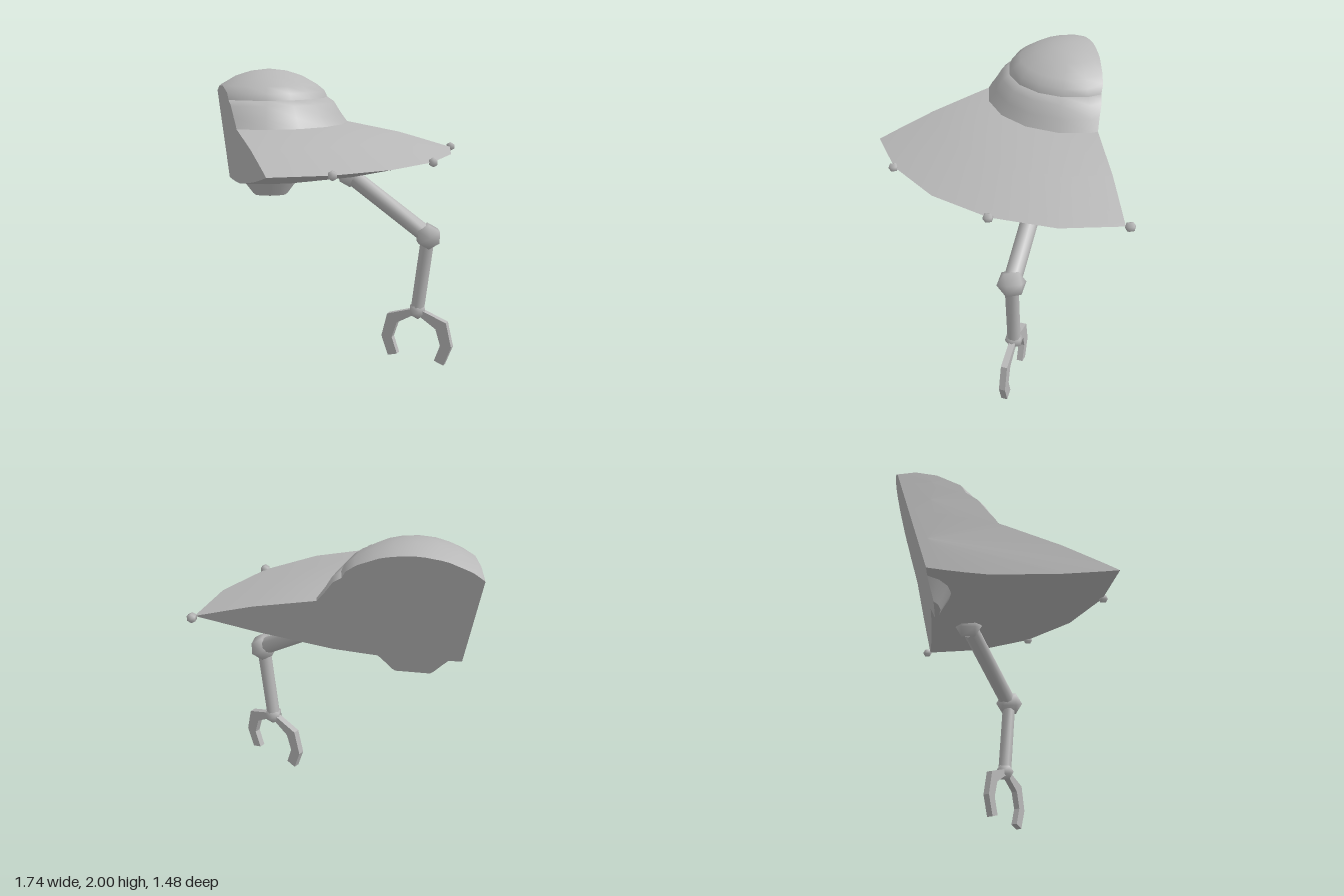
import * as THREE from 'three';
import { toCreasedNormals } from 'three/addons/utils/BufferGeometryUtils.js';

const AXIS = new THREE.Vector3(-0.485, 0, -0.59); // vertical axis of the saucer
const V = (x, y, z) => new THREE.Vector3(x, y, z);

// Planes that slice the saucer; the normal points to the kept side
const sidePlane = new THREE.Plane().setFromNormalAndCoplanarPoint(V(0.804, 0.046, -0.219).normalize(), V(-0.87, 1.85, -0.7));
const backPlane = new THREE.Plane().setFromNormalAndCoplanarPoint(V(0, 0.32, 1).normalize(), V(-0.87, 1.85, -0.7));

// Clips a convex solid by a plane and closes the cut with a flat cap
function slice(geometry, plane) {
  const p = geometry.attributes.position, n = geometry.attributes.normal;
  const pos = [], nor = [], cuts = [];
  const push = (...corners) => corners.forEach(c => {
    pos.push(c.p.x, c.p.y, c.p.z);
    nor.push(c.n.x, c.n.y, c.n.z);
  });
  for (let i = 0; i < p.count; i += 3) {
    const tri = [0, 1, 2].map(k => {
      const q = V().fromBufferAttribute(p, i + k);
      return { p: q, n: V().fromBufferAttribute(n, i + k), d: plane.distanceToPoint(q) };
    });
    const poly = [];
    let exit, entry;
    tri.forEach((a, k) => {
      const b = tri[(k + 1) % 3];
      if (a.d >= 0) poly.push(a);
      if ((a.d >= 0) !== (b.d >= 0)) {
        const t = a.d / (a.d - b.d);
        const c = { p: a.p.clone().lerp(b.p, t), n: a.n.clone().lerp(b.n, t).normalize() };
        poly.push(c);
        if (a.d >= 0) exit = c.p; else entry = c.p;
      }
    });
    for (let k = 2; k < poly.length; k++) push(poly[0], poly[k - 1], poly[k]);
    if (exit) cuts.push([entry, exit]);
  }
  // Cap as a fan around the middle of the cut
  const mid = V();
  cuts.forEach(([a, b]) => mid.add(a).add(b));
  mid.divideScalar(Math.max(1, cuts.length * 2));
  const out = plane.normal.clone().negate();
  cuts.forEach(([a, b]) => push({ p: a, n: out }, { p: b, n: out }, { p: mid, n: out }));
  const g = new THREE.BufferGeometry();
  g.setAttribute('position', new THREE.Float32BufferAttribute(pos, 3));
  g.setAttribute('normal', new THREE.Float32BufferAttribute(nor, 3));
  return g;
}

// Turned solid on the saucer axis, sliced by both planes
function slicedLathe(profile, segments) {
  const lathe = new THREE.LatheGeometry(profile.map(([r, y]) => new THREE.Vector2(r, y)), segments);
  lathe.translate(AXIS.x, 0, AXIS.z);
  return slice(slice(toCreasedNormals(lathe, 0.7), sidePlane), backPlane);
}

export function createModel() {
  const model = new THREE.Group();
  model.name = 'saucerWithArm';
  const metal = new THREE.MeshStandardMaterial({ color: 0xb8b8b8 });
  metal.name = 'grey metal';

  const add = (name, geometry, parent = model) => {
    const mesh = new THREE.Mesh(geometry, metal);
    mesh.name = name;
    parent.add(mesh);
    return mesh;
  };

  // Saucer body
  add('hull', slicedLathe([[0, 1.22], [0.24, 1.22], [0.5, 1.245], [0.95, 1.335], [1.33, 1.43],
    [0.95, 1.54], [0.56, 1.62], [0, 1.62]], 20));
  add('collar', slicedLathe([[0, 1.6], [0.565, 1.62], [0.515, 1.69], [0.47, 1.765], [0.42, 1.8], [0, 1.8]], 16));
  add('dome', slicedLathe([[0, 1.78], [0.42, 1.8], [0.4, 1.845], [0.345, 1.89], [0.24, 1.95],
    [0.13, 1.985], [0, 2]], 16));
  add('bellyPod', slicedLathe([[0, 1.1], [0.17, 1.1], [0.205, 1.17], [0.235, 1.225], [0, 1.24]], 16));

  // Low-sided ball with its poles along z
  const ball = (name, radius, at) =>
    add(name, new THREE.SphereGeometry(radius, 6, 3).rotateX(Math.PI / 2).rotateZ(Math.PI / 6)).position.copy(at);

  // Lamps around the rim
  for (let i = 0; i < 3; i++) {
    const a = i * Math.PI / 5;
    ball('rimLamp', 0.034, V(AXIS.x + 1.335 * Math.cos(a), 1.43, AXIS.z + 1.335 * Math.sin(a)));
  }

  // Arm with ball joints
  const shoulder = V(0.08, 1.28, -0.255), elbow = V(0.597, 0.905, 0.05), wrist = V(0.54, 0.365, 0.015);
  ball('shoulderJoint', 0.095, shoulder);
  ball('elbowJoint', 0.096, elbow);
  ball('wristJoint', 0.064, wrist);

  const rod = (name, from, to, radius) => {
    const dir = to.clone().sub(from);
    const mesh = add(name, toCreasedNormals(new THREE.CylinderGeometry(radius, radius, dir.length(), 10), 0.8));
    mesh.position.copy(from).addScaledVector(dir, 0.5);
    mesh.quaternion.setFromUnitVectors(V(0, 1, 0), dir.normalize());
  };
  rod('upperArm', shoulder.clone().lerp(elbow, 0.08), elbow, 0.058);
  rod('forearm', elbow, wrist, 0.046);

  // Two hooked claw fingers facing each other
  const outline = [[0, 0.385], [0.03, 0.375], [0.22, 0.31], [0.262, 0.14], [0.21, 0],
    [0.14, 0.022], [0.182, 0.14], [0.145, 0.255], [0.03, 0.325], [0, 0.33]];
  const fingerShape = new THREE.Shape(outline.map(([x, y]) => new THREE.Vector2(x, y)));
  const finger = new THREE.ExtrudeGeometry(fingerShape, { depth: 0.042, bevelEnabled: false }).translate(0, 0, -0.021);
  const claw = new THREE.Group();
  claw.name = 'claw';
  claw.position.set(wrist.x, 0, wrist.z);
  claw.rotation.y = -Math.PI / 6;
  model.add(claw);
  for (const turn of [0, Math.PI]) add('clawFinger', finger, claw).rotation.y = turn;

  return model;
}
